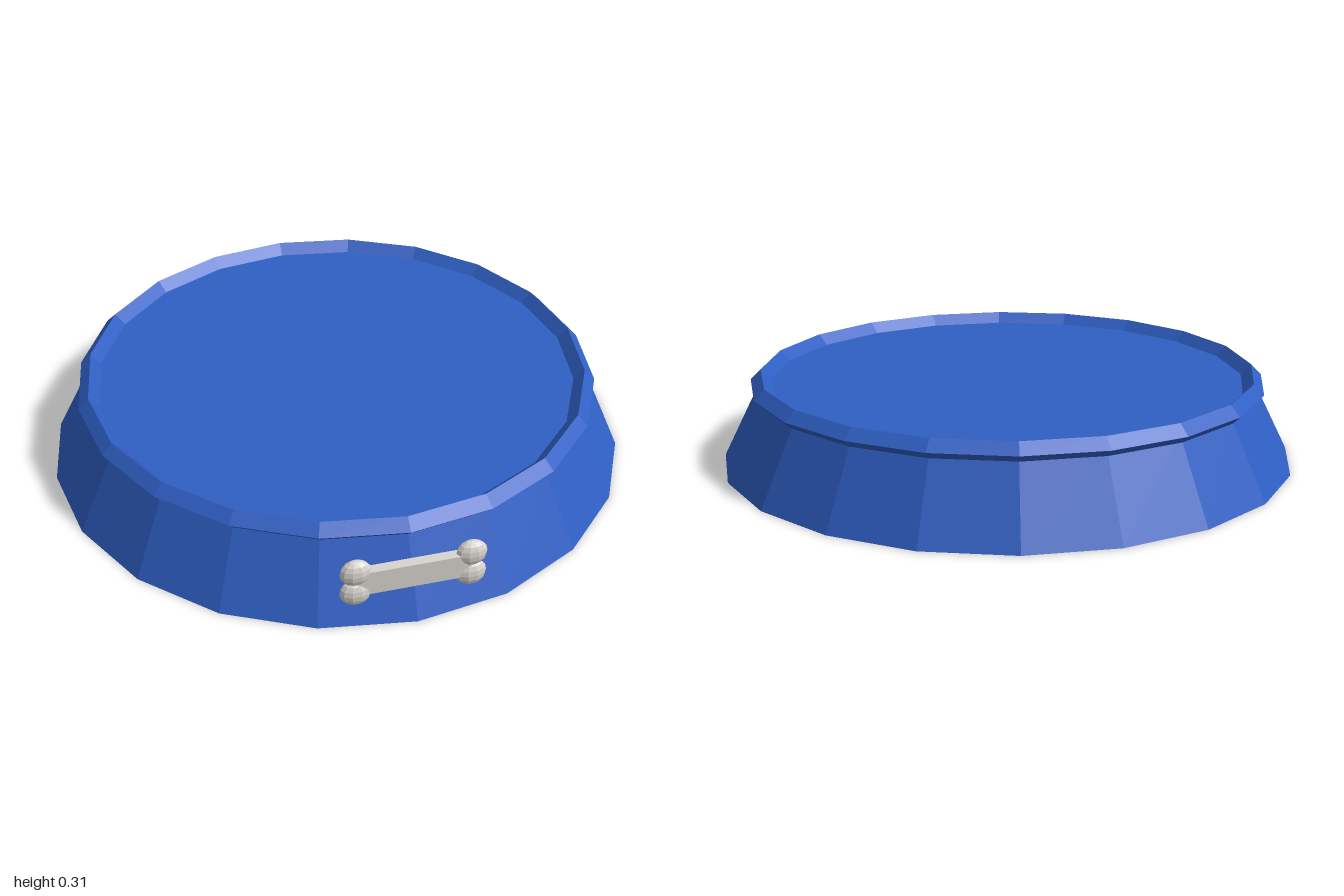
import * as THREE from 'three';

export function createModel() {
  const model = new THREE.Group();
  model.name = 'petBowl';

  const blue = new THREE.MeshStandardMaterial({ color: 0x2f5fc4, flatShading: true });
  blue.name = 'bowl blue';
  const ivory = new THREE.MeshStandardMaterial({ color: 0xd8d4cf, flatShading: true });
  ivory.name = 'bone ivory';

  const add = (parent, name, geometry, material, x, y, z) => {
    const mesh = new THREE.Mesh(geometry, material);
    mesh.name = name;
    mesh.position.set(x, y, z);
    parent.add(mesh);
    return mesh;
  };

  // Tapered twenty-sided body; its top face is the bowl floor
  const sides = 20, floorY = 0.275;
  add(model, 'body', new THREE.CylinderGeometry(0.863, 1, floorY, sides), blue, 0, floorY / 2, 0);

  // Diamond-section rim
  const rim = new THREE.TorusGeometry(0.863, 0.036, 4, sides).rotateX(Math.PI / 2);
  add(model, 'rim', rim, blue, 0, floorY, 0);

  // Bone badge on the front: a shaft with two flattened knobs at each end
  const bone = new THREE.Group();
  bone.name = 'boneBadge';
  bone.position.set(0, 0.15, 0.938);
  model.add(bone);
  add(bone, 'boneShaft', new THREE.BoxGeometry(0.36, 0.086, 0.034), ivory, 0, 0, 0);
  const knob = new THREE.SphereGeometry(1, 10, 8).scale(0.051, 0.047, 0.028);
  for (const sx of [-1, 1]) {
    for (const sy of [-1, 1]) {
      add(bone, 'boneKnob', knob, ivory, sx * 0.185, sy * 0.039, 0);
    }
  }

  return model;
}
